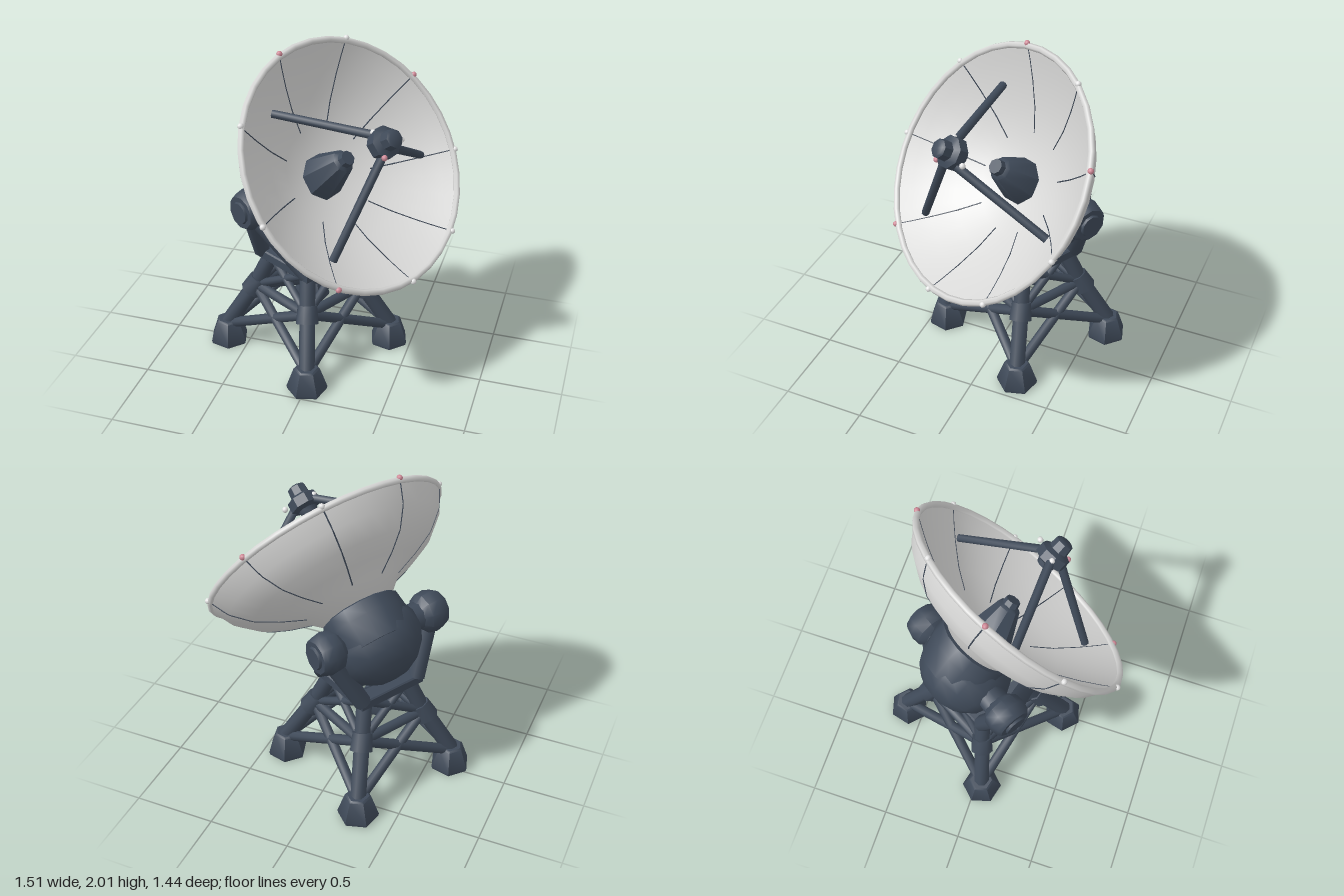
import * as THREE from 'three';
import { mergeVertices, toCreasedNormals } from 'three/addons/utils/BufferGeometryUtils.js';

const V = (x, y, z) => new THREE.Vector3(x, y, z);
const mat = (name, color, side = THREE.FrontSide) => {
  const m = new THREE.MeshStandardMaterial({ color, side });
  m.name = name;
  return m;
};

export function createModel() {
  const steel = mat('dark steel', 0x3f4a59);
  const shell = mat('pale dish panel', 0xd8d8d7, THREE.DoubleSide);
  const pink = mat('pink beacon', 0xd08a98);
  const white = mat('white beacon', 0xe6e6e6);
  const model = new THREE.Group();
  model.name = 'radioTelescope';

  const add = (parent, name, geo, m, pos) => {
    const mesh = new THREE.Mesh(geo, m);
    mesh.name = name;
    if (pos) mesh.position.copy(pos);
    parent.add(mesh);
    return mesh;
  };
  // turn a part so its own y axis points along a direction
  const aim = (mesh, dir) => mesh.quaternion.setFromUnitVectors(V(0, 1, 0), dir.clone().normalize());
  // straight round bar between two points
  const rod = (parent, name, a, b, r, r2 = r, sides = 8) => {
    const d = b.clone().sub(a);
    const geo = toCreasedNormals(new THREE.CylinderGeometry(r2, r, d.length(), sides), 0.9);
    aim(add(parent, name, geo, steel, a.clone().add(b).multiplyScalar(0.5)), d);
  };
  // turned part about y, profile listed from bottom to top as [radius, height]
  const lathe = (profile, sides) =>
    new THREE.LatheGeometry(profile.map(([r, y]) => new THREE.Vector2(r, y)), sides);
  const turned = (profile, sides) => toCreasedNormals(lathe(profile, sides), 0.75);

  // ---- lattice tower on four feet ----
  const tower = new THREE.Group();
  tower.name = 'tower';
  tower.position.set(-0.135, 0, -0.105);
  model.add(tower);
  const startAngle = Math.atan2(0.145, -0.505);
  const leg = (i, r, y) => {
    const a = startAngle + i * Math.PI / 2;
    return V(r * Math.cos(a), y, r * Math.sin(a));
  };
  for (let i = 0; i < 4; i++) {
    const foot = leg(i, 0.525, 0.12), node = leg(i, 0.335, 0.42), top = leg(i, 0.22, 0.66);
    const block = add(tower, 'foot', turned([[0, 0], [0.12, 0], [0.125, 0.02], [0.08, 0.15], [0.068, 0.16], [0, 0.16]], 6),
      steel, leg(i, 0.515, 0));
    block.rotation.y = -startAngle - i * Math.PI / 2;
    rod(tower, 'lowerLeg', foot, node, 0.05);
    rod(tower, 'upperLeg', node, top, 0.05);
    const dir = top.clone().sub(foot).normalize().multiplyScalar(0.055);
    rod(tower, 'legJoint', node.clone().sub(dir), node.clone().add(dir), 0.072, 0.062);
    rod(tower, 'ringBar', node, leg(i + 1, 0.335, 0.42), 0.032);
    for (const s of [1, -1]) {
      rod(tower, 'lowerBrace', foot, leg(i + s, 0.335, 0.42), 0.032);
      rod(tower, 'upperBrace', node, leg(i + s, 0.23, 0.64), 0.026);
    }
  }

  // ---- square platform frame ----
  const square = (Kind, r) => {
    const path = new Kind();
    for (let i = 0; i < 4; i++) {
      const p = leg(i, r, 0);
      path[i ? 'lineTo' : 'moveTo'](p.x, -p.z);
    }
    path.closePath();
    return path;
  };
  const frame = square(THREE.Shape, 0.315);
  frame.holes.push(square(THREE.Path, 0.19));
  const frameGeo = new THREE.ExtrudeGeometry(frame, {
    depth: 0.05, bevelEnabled: true, bevelSize: 0.008, bevelThickness: 0.008, bevelSegments: 1 });
  frameGeo.rotateX(-Math.PI / 2);
  add(tower, 'platformFrame', frameGeo, steel, V(0, 0.638, 0));

  // ---- yoke: A-frames carrying the tilt bearings ----
  const axle = V(0.525, 0, -0.851), pivot = V(-0.225, 1.05, -0.175);
  const yoke = new THREE.Group();
  yoke.name = 'yoke';
  model.add(yoke);
  for (const [side, c1, c2] of [[-1, 0, 3], [1, 1, 2]]) {
    const hub = pivot.clone().addScaledVector(axle, side * 0.37);
    for (const c of [c1, c2])
      rod(yoke, 'yokeArm', leg(c, 0.285, 0.67).add(tower.position), hub, 0.052, 0.06);
    aim(add(yoke, 'tiltBearing', turned([[0, -0.1], [0.08, -0.1], [0.12, -0.06], [0.128, 0],
      [0.115, 0.05], [0.1, 0.07], [0.07, 0.07], [0.065, 0.085], [0, 0.085]], 10), steel, hub), axle.clone().multiplyScalar(side));
  }
  rod(yoke, 'axle', pivot.clone().addScaledVector(axle, -0.35), pivot.clone().addScaledVector(axle, 0.35), 0.085, 0.085, 10);
  add(yoke, 'turntable', turned([[0, -0.1], [0.1, -0.1], [0.155, -0.05], [0.165, 0.02], [0.12, 0.06], [0, 0.06]], 12),
    steel, V(-0.09, 0.82, -0.085));

  // ---- dish frame: local y points along the beam ----
  const n = V(0.692, 0.581, 0.427).normalize();
  const u = V(-0.473, 0.589, -0.038);
  u.addScaledVector(n, -u.dot(n)).normalize();
  const dish = new THREE.Group();
  dish.name = 'dish';
  dish.position.set(0.195, 1.388, 0.022);
  dish.quaternion.setFromRotationMatrix(new THREE.Matrix4().makeBasis(u, n, u.clone().cross(n)));
  model.add(dish);

  // bowl with an inner face and a deeper outer face
  const R = 0.757;
  const inner = [[0.001, -0.325], [0.16, -0.315], [0.3, -0.275], [0.44, -0.215], [0.58, -0.13], [0.68, -0.06], [R, 0]];
  const outer = [[0.001, -0.42], [0.22, -0.41], [0.3, -0.335], [0.45, -0.28], [0.58, -0.217], [0.69, -0.12], [R, 0]];
  for (const [name, profile] of [['bowlInside', inner], ['bowlOutside', outer]]) {
    const bowl = lathe(profile, 36);
    bowl.deleteAttribute('uv');
    bowl.deleteAttribute('normal');
    const smooth = mergeVertices(bowl, 1e-4);
    smooth.computeVertexNormals();
    add(dish, name, smooth, shell);
  }

  // rolled rim
  const rim = add(dish, 'rim', new THREE.TorusGeometry(R - 0.012, 0.02, 6, 36), shell, V(0, -0.008, 0));
  rim.rotation.x = Math.PI / 2;

  // panel seams on both faces, and rim beacons
  [1, 39, 78, 118, 158, 192.5, 233, 277, 320.5].forEach((degrees, k) => {
    const a = THREE.MathUtils.degToRad(degrees);
    for (const profile of [inner, outer]) {
      const seam = profile.slice(2).map(([r, y]) => V(r * Math.cos(a), y, r * Math.sin(a)));
      const path = new THREE.CurvePath();
      for (let i = 1; i < seam.length; i++) path.add(new THREE.LineCurve3(seam[i - 1], seam[i]));
      add(dish, 'panelSeam', new THREE.TubeGeometry(path, 16, 0.004, 4), steel);
    }
    add(dish, 'rimBeacon', new THREE.SphereGeometry(0.018, 8, 6), [0, 2, 6].includes(k) ? pink : white,
      V(R * Math.cos(a), 0.002, R * Math.sin(a)));
  });

  // ---- receiver cone inside the bowl ----
  aim(add(model, 'receiverCone', turned([[0, -0.33], [0.15, -0.33], [0.14, -0.27], [0.07, -0.05], [0.05, -0.035],
    [0.045, 0], [0, 0]], 8), steel, V(0.14, 1.4, -0.01)), V(0.18, 0.19, 0.085));

  // ---- drum and round counterweight housing behind the bowl ----
  add(dish, 'drum', turned([[0, -0.65], [0.22, -0.65], [0.25, -0.5], [0.24, -0.42], [0.2, -0.4], [0, -0.4]], 14), steel);
  const housing = new THREE.SphereGeometry(0.287, 14, 9);
  housing.scale(1, 0.9, 1);
  aim(add(model, 'counterweight', housing, steel, V(-0.2, 0.99, -0.19)), n);

  // ---- feed on three struts ----
  aim(add(model, 'feed', turned([[0, -0.08], [0.05, -0.08], [0.06, -0.05], [0.095, -0.035], [0.095, 0.025],
    [0.06, 0.045], [0.055, 0.1], [0.04, 0.11], [0, 0.11]], 8), steel, V(0.385, 1.6, 0.14)), n);
  const struts = [
    [V(-0.27, 1.68, 0.12), V(0.33, 1.64, 0.14), V(0.325, 1.66, 0.15), white],
    [V(0.47, 1.25, -0.46), V(0.43, 1.55, 0.09), V(0.46, 1.585, 0.04), white],
    [V(0.18, 0.97, 0.43), V(0.39, 1.54, 0.18), V(0.41, 1.55, 0.22), pink],
  ];
  for (const [base, end, lamp, m] of struts) {
    rod(model, 'feedStrut', base, end, 0.024, 0.026);
    add(model, 'feedBeacon', new THREE.SphereGeometry(0.018, 8, 6), m, lamp);
  }
  return model;
}
